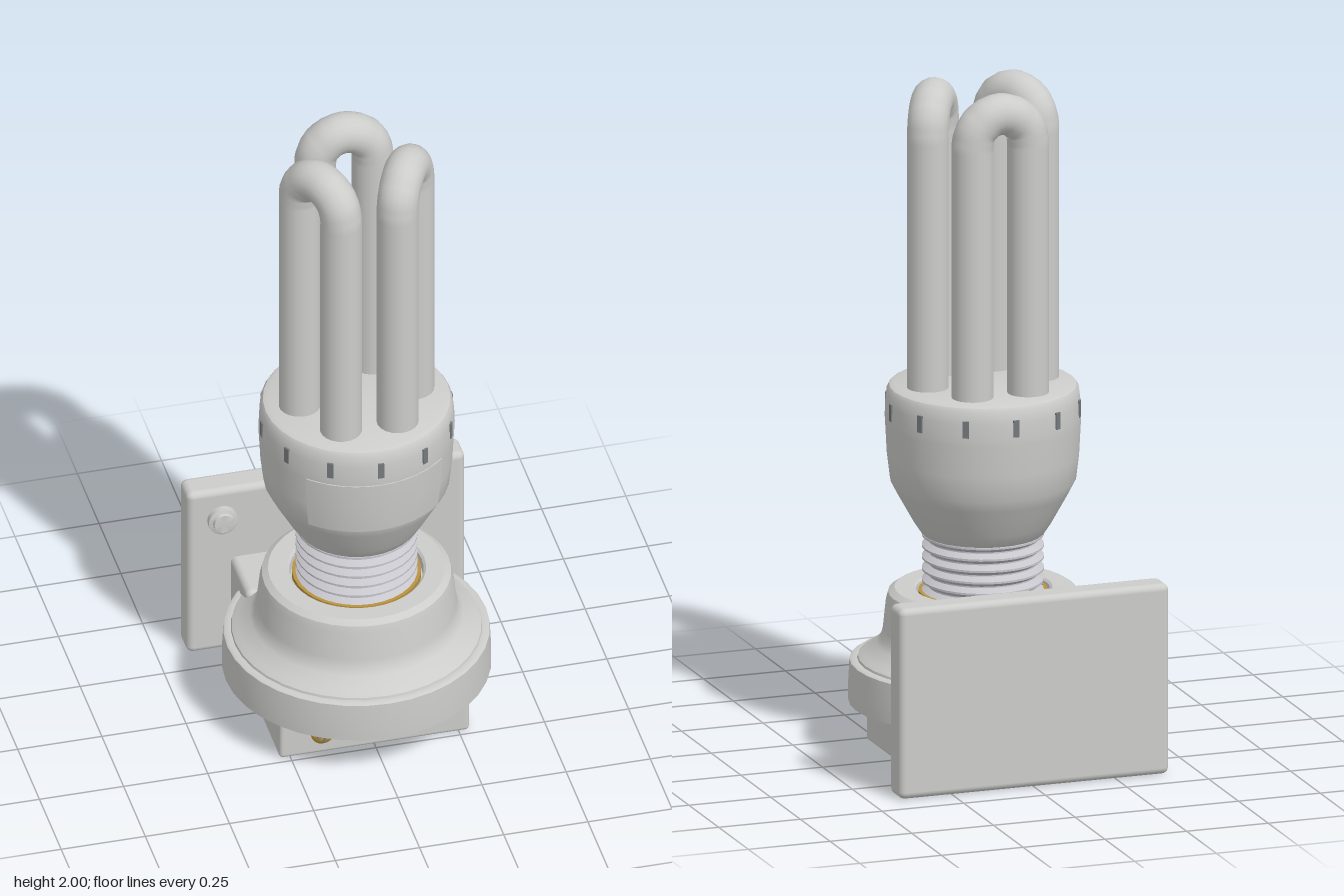
import * as THREE from 'three';
import { toCreasedNormals } from 'three/addons/utils/BufferGeometryUtils.js';
import { RoundedBoxGeometry } from 'three/addons/geometries/RoundedBoxGeometry.js';

const AXIS_Z = 0.025; // lamp axis, slightly in front of centre

function material(name, color) {
  const m = new THREE.MeshStandardMaterial({ color });
  m.name = name;
  return m;
}

export function createModel() {
  const root = new THREE.Group();
  root.name = 'wallLamp';
  const lamp = new THREE.Group();
  lamp.name = 'lamp';
  lamp.position.z = AXIS_Z;
  root.add(lamp);

  const grey = material('light grey', 0xcccccA);
  const steel = material('thread steel', 0xc6c6cc);
  const dark = material('slot grey', 0x767a7c);
  const brass = material('brass', 0xb8923f);

  function add(parent, name, geometry, mat, x = 0, y = 0, z = 0) {
    const mesh = new THREE.Mesh(geometry, mat);
    mesh.name = name;
    mesh.position.set(x, y, z);
    parent.add(mesh);
    return mesh;
  }
  function lathe(profile, segments = 32, start = 0, length = Math.PI * 2) {
    const pts = profile.map(([r, y]) => new THREE.Vector2(r, y));
    return toCreasedNormals(new THREE.LatheGeometry(pts, segments, start, length), 0.6);
  }
  // rounded box given by its limits
  function block(name, x, y0, y1, z0, z1, radius) {
    const g = new RoundedBoxGeometry(2 * x, y1 - y0, z1 - z0, 3, radius);
    return add(root, name, g, grey, 0, (y0 + y1) / 2, (z0 + z1) / 2);
  }

  // wall plate, arm and lower box
  block('wallPlate', 0.413, 0.005, 0.573, -0.413, -0.322, 0.02);
  block('wallArm', 0.284, 0.14, 0.33, -0.34, -0.14, 0.02);
  block('lowerBox', 0.282, 0.005, 0.158, -0.255, 0.235, 0.012);

  // bolts on the plate and brass screws on the lower box
  for (const side of [-1, 1]) {
    const bolt = add(root, 'plateBolt', lathe([
      [0, -0.01], [0.044, -0.01], [0.044, 0.018], [0.032, 0.022], [0.03, 0.03], [0, 0.03],
    ], 20), grey, side * 0.31, 0.473, -0.322);
    bolt.rotation.x = Math.PI / 2;

    const screw = new THREE.Group();
    screw.name = 'boxScrew';
    screw.position.set(side * 0.155, 0.08, 0.235);
    root.add(screw);
    const head = add(screw, 'screwHead', lathe([
      [0.036, -0.01], [0.036, 0.008], [0.028, 0.018], [0.014, 0.023], [0, 0.024],
    ], 16), brass);
    head.rotation.x = Math.PI / 2;
    add(screw, 'screwSlot', new THREE.BoxGeometry(0.044, 0.008, 0.006), dark, 0, 0, 0.021);
    add(screw, 'screwSlot', new THREE.BoxGeometry(0.008, 0.044, 0.006), dark, 0, 0, 0.021);
  }

  // round socket base with a rim and a hollow top
  add(lamp, 'socketBase', lathe([
    [0, 0.156], [0.388, 0.156], [0.388, 0.2], [0.384, 0.276], [0.378, 0.28], [0.362, 0.28],
    [0.36, 0.287], [0.345, 0.298], [0.307, 0.325], [0.294, 0.345], [0.288, 0.37], [0.279, 0.455],
    [0.273, 0.478], [0.255, 0.491], [0.2, 0.491], [0.193, 0.485], [0.19, 0.46], [0, 0.46],
  ], 36), grey);
  add(lamp, 'contactRing', lathe([
    [0.186, 0.45], [0.186, 0.484], [0.176, 0.484], [0.176, 0.45],
  ], 32), brass);

  // screw thread
  const thread = [[0.15, 0.45]];
  for (let i = 0; i < 6; i++) {
    const y = 0.465 + i * 0.034;
    thread.push([0.157, y], [0.176, y + 0.012], [0.176, y + 0.018], [0.157, y + 0.03]);
  }
  add(lamp, 'screwThread', lathe(thread, 32), steel);

  // bulb housing
  const side = [[0.268, 0.815], [0.277, 0.89], [0.282, 0.985]];
  add(lamp, 'housing', lathe([
    [0, 0.645], [0.165, 0.645], [0.178, 0.657], [0.2, 0.69], [0.225, 0.735], [0.25, 0.78],
    ...side, [0.283, 1.0], [0.281, 1.05], [0.277, 1.085], [0.27, 1.096], [0.255, 1.102], [0, 1.102],
  ], 32), grey);

  // thin curved label on the front of the housing
  const label = side.map(([r, y]) => [r + 0.003, y]);
  const outline = [[side[0][0] - 0.004, 0.815], ...label, [side[2][0] - 0.004, 0.985]];
  add(lamp, 'frontLabel', lathe(outline, 12, -0.79, 1.58), grey);

  // vent slots around the top of the housing
  for (let i = 0; i < 12; i++) {
    const a = (i / 12) * Math.PI * 2;
    const slot = add(lamp, 'ventSlot', new THREE.BoxGeometry(0.018, 0.05, 0.009), dark,
      Math.sin(a) * 0.28, 1.035, Math.cos(a) * 0.28);
    slot.rotation.y = a;
  }

  // three bent light tubes
  const reach = 0.085;
  const path = new THREE.CurvePath();
  const bendY = 1.855;
  const points = [new THREE.Vector3(-reach, 1.08, 0)];
  for (let i = 0; i <= 10; i++) {
    const a = Math.PI * (1 - i / 10);
    points.push(new THREE.Vector3(Math.cos(a) * reach, bendY + Math.sin(a) * reach, 0));
  }
  points.push(new THREE.Vector3(reach, 1.08, 0));
  for (let i = 1; i < points.length; i++) path.add(new THREE.LineCurve3(points[i - 1], points[i]));
  const tube = new THREE.TubeGeometry(path, 96, 0.0605, 20, false);
  for (let i = 0; i < 3; i++) {
    const holder = new THREE.Group();
    holder.name = 'lightTube';
    holder.rotation.y = (i * Math.PI * 2) / 3;
    lamp.add(holder);
    add(holder, 'tube', tube, grey, 0, 0, -0.146);
  }
  return root;
}
